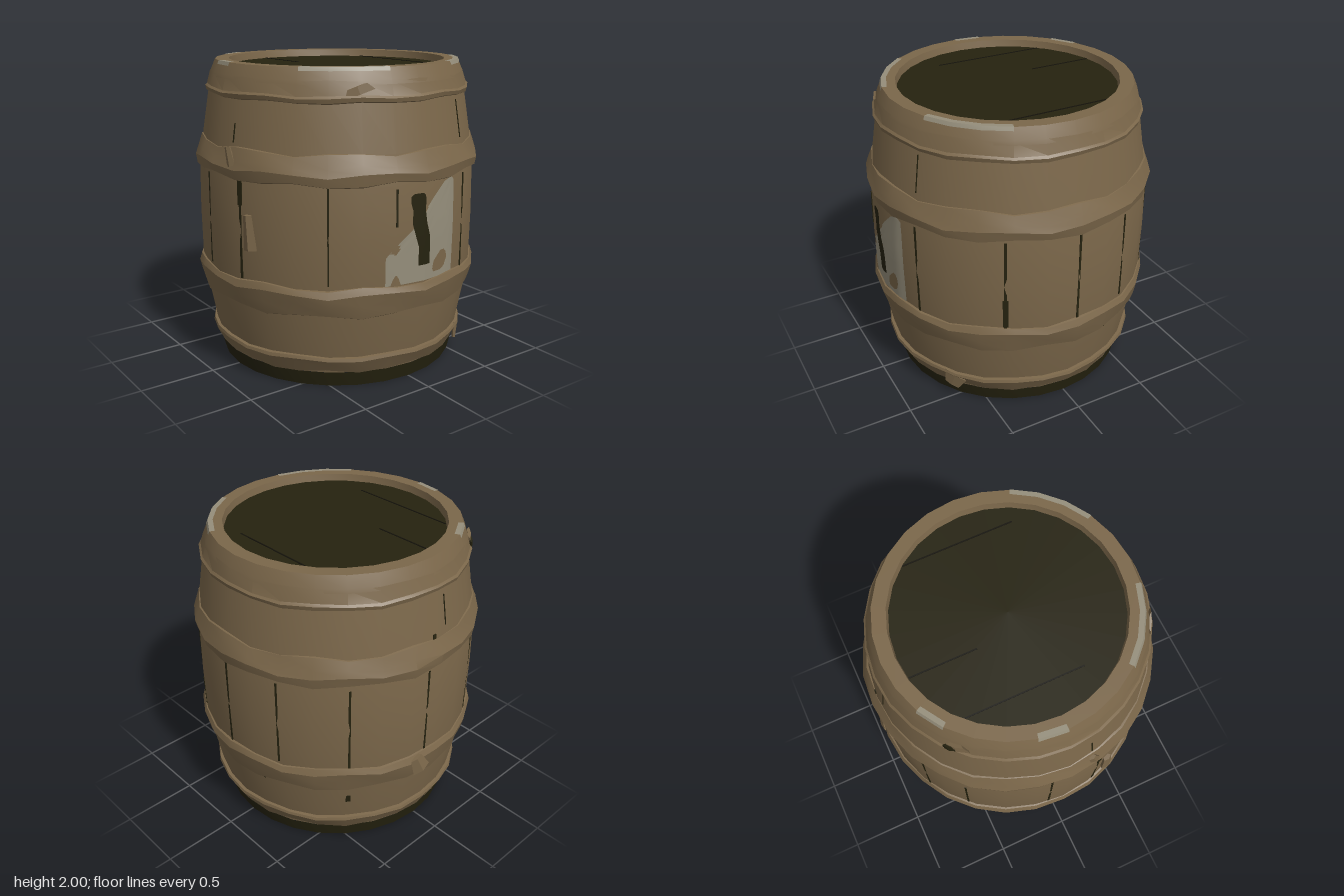
import * as THREE from 'three';
import { toCreasedNormals } from 'three/addons/utils/BufferGeometryUtils.js';

const SIDES = 28;
const SEG = (Math.PI * 2) / SIDES;
const RAD = Math.PI / 180;

const mat = (name, color) => {
  const m = new THREE.MeshStandardMaterial({ color });
  m.name = name;
  return m;
};

// Barrel body outline [radius, height], without the hoops
const BODY = [[0.822, 0.1], [0.846, 0.21], [0.9, 0.5], [0.925, 0.69], [0.93, 1.0],
  [0.925, 1.31], [0.9, 1.5], [0.852, 1.8]];

function radiusAt(y) {
  for (let i = 1; i < BODY.length; i++) {
    const [r0, y0] = BODY[i - 1], [r1, y1] = BODY[i];
    if (y <= y1) return r0 + ((r1 - r0) * (y - y0)) / (y1 - y0);
  }
  return BODY[BODY.length - 1][0];
}

// Distance to the faceted side at an angle measured from the front
function surface(angle, y) {
  const local = angle - (Math.floor(angle / SEG) + 0.5) * SEG;
  return (radiusAt(y) * Math.cos(SEG / 2)) / Math.cos(local);
}

// Turned part; wobble gives a hand-hewn edge
function turned(name, profile, material, wobble = 0, start = 0, count = SIDES) {
  const pts = profile.map(([r, y]) => new THREE.Vector2(r, y));
  const g = new THREE.LatheGeometry(pts, count, start * SEG, count * SEG);
  const p = g.attributes.position;
  if (wobble) {
    for (let i = 0; i < p.count; i++) {
      const x = p.getX(i), y = p.getY(i), z = p.getZ(i), a = Math.atan2(x, z);
      const n = Math.sin(5 * a + y * 9) * 0.6 + Math.sin(11 * a + y * 5) * 0.5;
      const k = 1 + n * wobble * 0.5;
      p.setXYZ(i, x * k, y + wobble * 1.2 * Math.sin(9 * a + y * 17), z * k);
    }
  }
  const mesh = new THREE.Mesh(toCreasedNormals(g, 0.45), material);
  mesh.name = name;
  return mesh;
}

// Thin plate lying on the side of the barrel
function sidePlate(name, deg, y0, y1, width, material) {
  const a = deg * RAD, r0 = surface(a, y0), r1 = surface(a, y1), r = (r0 + r1) / 2;
  const mesh = new THREE.Mesh(new THREE.BoxGeometry(width, y1 - y0, 0.009), material);
  mesh.position.set(Math.sin(a) * r, (y0 + y1) / 2, Math.cos(a) * r);
  mesh.rotation.order = 'YXZ';
  mesh.rotation.set(Math.atan2(r1 - r0, y1 - y0), a, 0);
  mesh.name = name;
  return mesh;
}

// Paint on the front, given as rows [y, left x, right x], bent over the staves
function paint(name, rows, offset, material) {
  const cols = 16, pos = [], idx = [];
  rows.forEach(([y, l, r], j) => {
    for (let i = 0; i <= cols; i++) {
      const x = l + ((r - l) * i) / cols, a = Math.asin(x / 0.925);
      const d = surface(a, y) + offset;
      pos.push(Math.sin(a) * d, y, Math.cos(a) * d);
      if (j && i) {
        const c = j * (cols + 1) + i, b = c - cols - 1;
        idx.push(b - 1, b, c, b - 1, c, c - 1);
      }
    }
  });
  const g = new THREE.BufferGeometry();
  g.setAttribute('position', new THREE.Float32BufferAttribute(pos, 3));
  g.setIndex(idx);
  g.computeVertexNormals();
  const mesh = new THREE.Mesh(g, material);
  mesh.name = name;
  return mesh;
}

// Broken splinter of wood standing off the side
function splinter(deg, y, r, size, tilt, material) {
  const a = deg * RAD;
  const g = new THREE.CylinderGeometry(0.32, 0.5, 1, 5).toNonIndexed();
  g.computeVertexNormals();
  const mesh = new THREE.Mesh(g, material);
  mesh.scale.set(...size);
  mesh.position.set(Math.sin(a) * r, y, Math.cos(a) * r);
  mesh.rotation.order = 'YXZ';
  mesh.rotation.set(0, a, tilt);
  mesh.name = 'splinter';
  return mesh;
}

export function createModel() {
  const barrel = new THREE.Group();
  barrel.name = 'barrel';
  const wood = mat('brown wood', 0x7b674a);
  const dark = mat('dark wood', 0x25220f);
  const crack = mat('crack black', 0x14120a);
  const pale = mat('pale paint', 0x958e7b);

  // Staves and rounded body
  barrel.add(turned('staves', BODY, wood));

  // Dark foot with a recessed bottom
  barrel.add(turned('foot', [[0, 0.03], [0.7, 0.03], [0.71, 0], [0.8, 0], [0.823, 0.1]], dark));

  // Hoops
  barrel.add(turned('bottomHoop',
    [[0.822, 0.1], [0.862, 0.175], [0.873, 0.195], [0.868, 0.215], [0.842, 0.218]], wood, 0.006));
  barrel.add(turned('lowerHoop',
    [[0.892, 0.495], [0.912, 0.505], [0.934, 0.58], [0.95, 0.645], [0.935, 0.685], [0.915, 0.69]], wood, 0.012));
  barrel.add(turned('upperHoop',
    [[0.915, 1.315], [0.938, 1.325], [0.95, 1.385], [0.933, 1.43], [0.908, 1.5], [0.89, 1.505]], wood, 0.012));
  barrel.add(turned('topHoop',
    [[0.845, 1.79], [0.866, 1.8], [0.873, 1.825], [0.86, 1.838], [0.836, 1.92]], wood, 0.006));

  // Rim and recessed lid
  barrel.add(turned('rim',
    [[0.842, 1.9], [0.834, 1.925], [0.803, 1.997], [0.715, 1.997], [0.705, 1.94]], wood));
  barrel.add(turned('lid', [[0.72, 1.95], [0, 1.95]], dark));

  // Gaps between the lid boards: x, z from, z to
  for (const [x, z0, z1] of [[-0.49, -0.5, 0.26], [-0.135, -0.69, -0.26], [0.54, -0.45, 0.28]]) {
    const gap = new THREE.Mesh(new THREE.BoxGeometry(0.009, 0.006, z1 - z0), crack);
    gap.position.set(x, 1.95, (z0 + z1) / 2);
    gap.name = 'lidGap';
    barrel.add(gap);
  }

  // Seams between the staves: angle, bottom, top, width
  const seams = [[-75, 0.69, 1.31, 0.018], [-38.6, 0.71, 1.31, 0.01], [-12.7, 1.06, 1.29, 0.012],
    [24.5, 0.69, 1.31, 0.015], [61, 0.69, 1.31, 0.018], [90, 0.69, 1.31, 0.014],
    [114, 0.7, 1.3, 0.013], [142, 0.7, 1.29, 0.014], [175, 0.69, 1.3, 0.012],
    [209, 0.69, 1.31, 0.014], [228, 0.69, 1.16, 0.012], [263, 0.71, 1.31, 0.013]];
  for (const s of seams) barrel.add(sidePlate('staveSeam', ...s, dark));

  // Worn spots and hairline cracks
  const marks = [[61, 0.7, 0.9, 0.034], [142, 0.37, 0.43, 0.03], [24.5, 1.53, 1.77, 0.006],
    [101, 0.495, 0.503, 0.17], [-75, 1.16, 1.31, 0.035], [178, 1.5, 1.53, 0.025],
    [-80, 1.53, 1.65, 0.008], [185, 1.55, 1.75, 0.006]];
  for (const m of marks) barrel.add(sidePlate('wornMark', ...m, dark));

  // Pale painted patch with bare spots and a dark smear
  barrel.add(paint('palePatch', [[0.69, -0.27, 0.265], [0.87, -0.27, 0.265], [0.96, -0.18, 0.265],
    [1.03, -0.09, 0.265], [1.1, -0.03, 0.265], [1.2, 0.06, 0.265], [1.29, 0.16, 0.262],
    [1.31, 0.2, 0.24]], 0.003, pale));
  barrel.add(paint('bareSpot', [[0.73, 0.08, 0.14], [0.75, 0.07, 0.175], [0.8, 0.08, 0.195],
    [0.84, 0.12, 0.19], [0.86, 0.14, 0.17]], 0.006, wood));
  barrel.add(paint('bareSpot', [[0.69, -0.24, -0.17], [0.73, -0.225, -0.185], [0.755, -0.21, -0.2]], 0.006, wood));
  barrel.add(paint('darkSmear', [[0.795, -0.045, 0.04], [0.92, -0.05, 0.04], [0.98, -0.07, 0.035],
    [1.06, -0.095, 0.01], [1.15, -0.095, -0.005], [1.2, -0.11, 0], [1.235, -0.11, -0.005],
    [1.25, -0.085, -0.02]], 0.007, dark));

  // Pale chips along the rim: first side, number of sides
  for (const [start, count] of [[-4, 3], [2.4, 2.5], [-8, 1], [16, 1]]) {
    barrel.add(turned('rimChip', [[0.815, 1.977], [0.805, 2], [0.772, 2]], pale, 0,
      Math.round(start), Math.round(count)));
  }

  // Splinters: angle, height, radius, size, tilt
  const splinters = [[-70, 1.0, 0.935, [0.1, 0.22, 0.06], 0.1], [171, 0.62, 0.945, [0.14, 0.12, 0.06], 0.4],
    [37, 0.15, 0.855, [0.17, 0.1, 0.03], 2.8], [-80, 1.45, 0.925, [0.08, 0.12, 0.04], 0.3],
    [225, 1.87, 0.85, [0.18, 0.05, 0.04], 0.3], [-27, 1.87, 0.85, [0.2, 0.05, 0.025], 0.35]];
  for (const s of splinters) barrel.add(splinter(...s, wood));
  const notch = splinter(222, 1.85, 0.862, [0.1, 0.04, 0.03], 0.3, dark);
  notch.name = 'notch';
  barrel.add(notch);

  return barrel;
}
